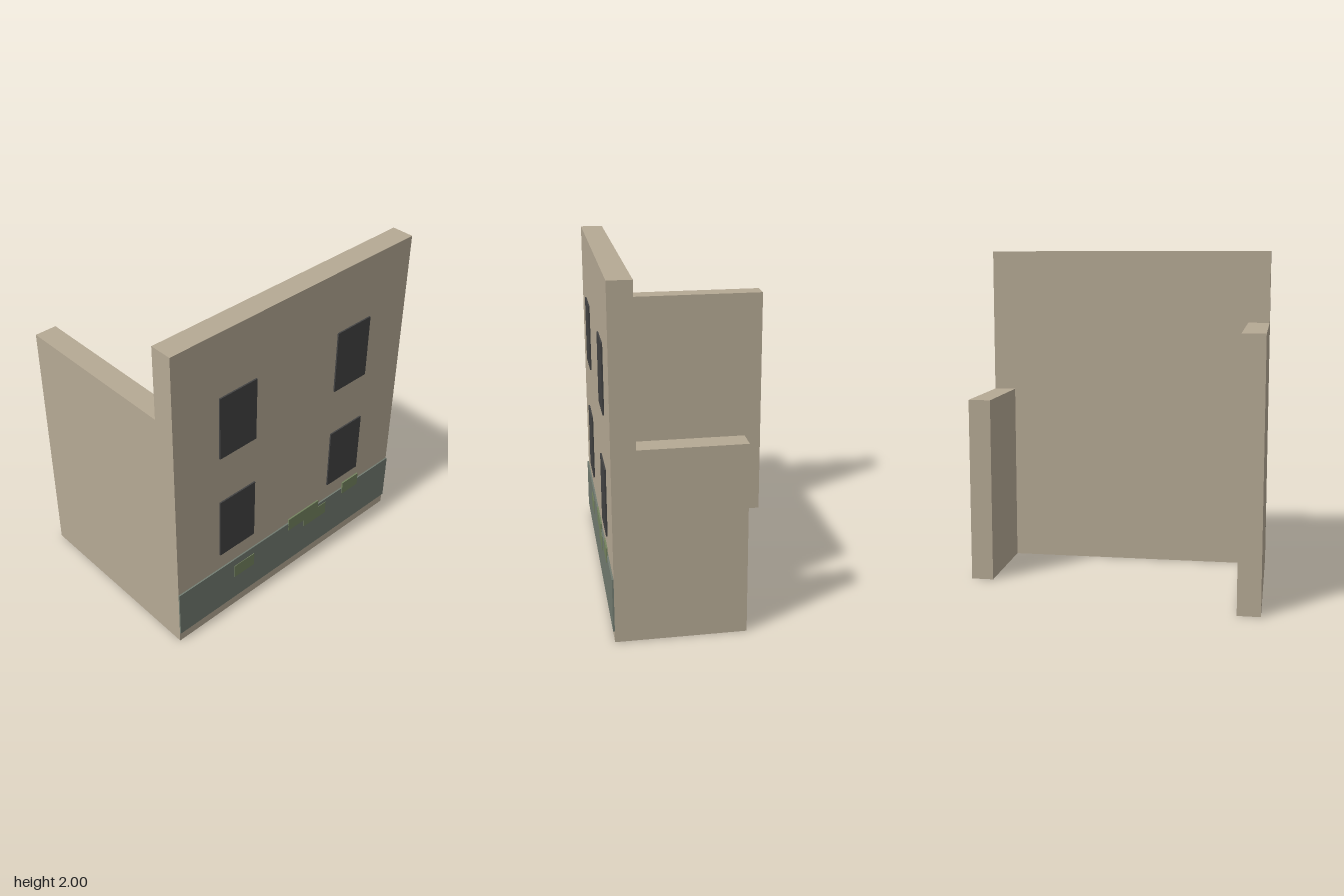
import * as THREE from 'three';

export function createModel() {
  const model = new THREE.Group();
  model.name = 'ruinedFacade';

  const material = (name, color) => {
    const m = new THREE.MeshStandardMaterial({ color });
    m.name = name;
    return m;
  };
  const plaster = material('plaster', 0xb5a994);
  const glass = material('darkWindow', 0x424242);
  const damp = material('dampBand', 0x727b70);
  const moss = material('moss', 0x74835f);

  // Box given by its lower and upper corners
  const block = (name, mat, [x0, y0, z0], [x1, y1, z1]) => {
    const mesh = new THREE.Mesh(new THREE.BoxGeometry(x1 - x0, y1 - y0, z1 - z0), mat);
    mesh.position.set((x0 + x1) / 2, (y0 + y1) / 2, (z0 + z1) / 2);
    mesh.name = name;
    model.add(mesh);
  };

  const W = 0.888, FACE = 0.584, INNER = 0.45, THICK = 0.133;

  // Front wall and the two broken side walls
  block('frontWall', plaster, [-W, 0, INNER], [W, 2, FACE]);
  block('rightWall', plaster, [-W, 0, -0.597], [-W + THICK, 1.555, INNER]);
  block('leftWall', plaster, [W - THICK, 0, -0.15], [W, 1.11, INNER]);

  // Two rows of two windows
  for (const y of [0.49, 1.204]) {
    for (const x of [-0.444, 0.444]) {
      block('window', glass, [x - 0.132, y, FACE], [x + 0.132, y + 0.4, 0.593]);
    }
  }

  // Damp band along the foot of the wall
  block('dampBand', damp, [-W, 0.068, FACE], [W, 0.38, 0.5935]);

  // Moss patches: x0, x1, y0, y1, front z
  const patches = [
    [-0.467, -0.31, 0.24, 0.328, 0.597],
    [-0.022, 0.235, 0.326, 0.413, 0.597],
    [0.115, 0.305, 0.272, 0.36, 0.5965],
    [0.455, 0.595, 0.336, 0.424, 0.597],
  ];
  for (const [x0, x1, y0, y1, z] of patches) {
    block('mossPatch', moss, [x0, y0, FACE + 0.004], [x1, y1, z]);
  }

  return model;
}
